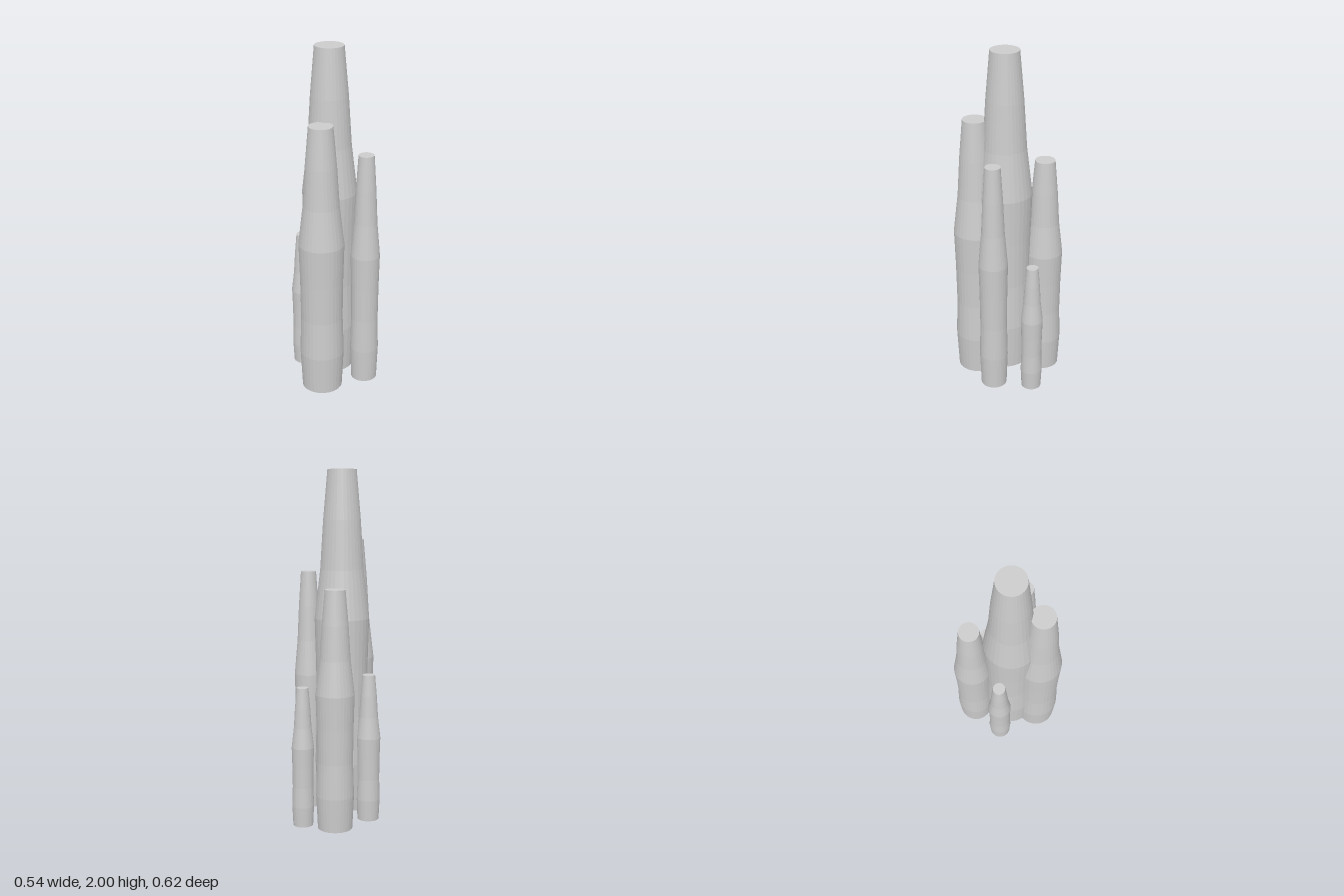
import * as THREE from 'three';

// Radius of a column at evenly spaced heights, as a share of its widest radius
const PROFILE = [0.9, 0.985, 0.93, 0.95, 1, 0.79, 0.68, 0.525];

// name, x, z, widest radius, bottom y, top y
const COLUMNS = [
  ['centralColumn', -0.03, 0.017, 0.153, 0.09, 2.0],
  ['frontColumn', -0.039, 0.182, 0.127, 0.03, 1.61],
  ['backColumn', -0.06, -0.205, 0.107, 0.03, 1.365],
  ['leftFrontColumn', 0.187, 0.077, 0.082, 0.05, 1.43],
  ['leftBackColumn', 0.151, -0.141, 0.063, 0, 0.8],
  ['rightColumn', -0.203, -0.035, 0.067, 0.04, 0.875],
];

export function createModel() {
  const model = new THREE.Group();
  const material = new THREE.MeshStandardMaterial({
    color: 0xcccccc,
    flatShading: true,
    side: THREE.DoubleSide,
  });

  for (const [name, x, z, radius, bottom, top] of COLUMNS) {
    // Bulging shell: open at the bottom, closed by a flat disc on top
    const last = PROFILE.length - 1;
    const points = PROFILE.map((share, i) =>
      new THREE.Vector2(radius * share, bottom + ((top - bottom) * i) / last));
    points.push(new THREE.Vector2(0, top));

    const column = new THREE.Mesh(new THREE.LatheGeometry(points, 32), material);
    column.name = name;
    column.position.set(x, 0, z);
    model.add(column);
  }
  return model;
}
